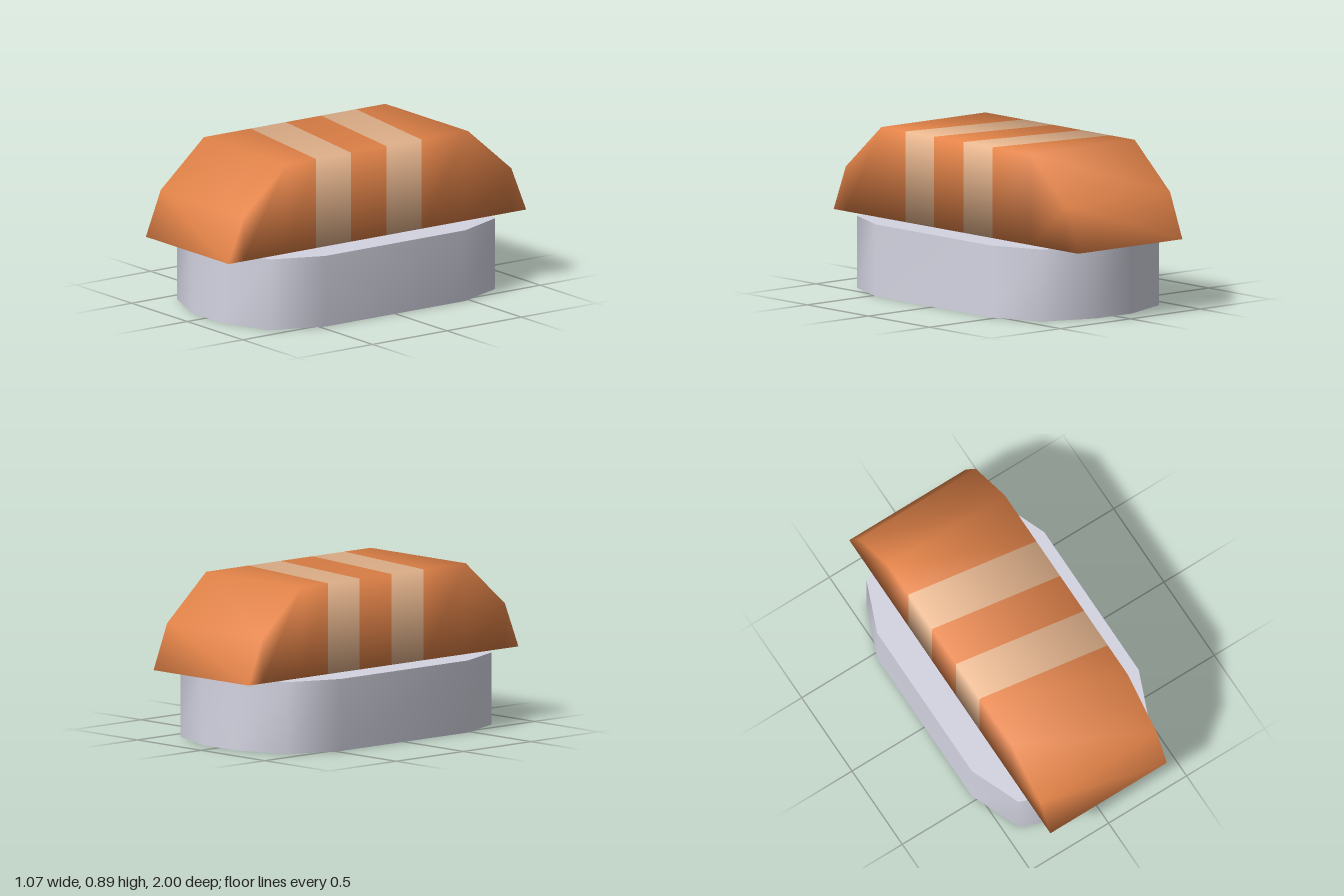
import * as THREE from 'three';
import { mergeVertices } from 'three/addons/utils/BufferGeometryUtils.js';

const BASE_TOP = 0.393;
const HALF_WIDTH = 0.373;

function indexed(positions, index) {
  const geo = new THREE.BufferGeometry();
  geo.setAttribute('position', new THREE.Float32BufferAttribute(positions, 3));
  geo.setIndex(index);
  return geo;
}

// Rounded twelve-sided block: smooth wall with flat caps
function createBase(material) {
  const base = new THREE.Group();
  base.name = 'riceBase';
  const quarter = [[0.535, 0.47], [0.42, 0.755], [0.13, 0.868]];
  const flip = (pts, sx, sy) => pts.map(([x, y]) => [x * sx, y * sy]);
  const outline = [
    ...quarter,
    ...flip(quarter, -1, 1).reverse(),
    ...flip(quarter, -1, -1),
    ...flip(quarter, 1, -1).reverse(),
  ];

  const positions = [], index = [], n = outline.length;
  outline.forEach(([x, y], i) => {
    positions.push(x, 0, -y, x, BASE_TOP, -y);
    const a = 2 * i, b = 2 * ((i + 1) % n);
    index.push(a, b, b + 1, a, b + 1, a + 1);
  });
  const wallGeo = indexed(positions, index);
  wallGeo.computeVertexNormals();
  const wall = new THREE.Mesh(wallGeo, material);
  wall.name = 'riceWall';

  const shape = new THREE.Shape(outline.map(([x, y]) => new THREE.Vector2(x, y)));
  const top = new THREE.Mesh(new THREE.ShapeGeometry(shape).rotateX(-Math.PI / 2), material);
  top.position.y = BASE_TOP;
  top.name = 'riceTop';
  const bottom = new THREE.Mesh(new THREE.ShapeGeometry(shape).rotateX(Math.PI / 2), material);
  bottom.name = 'riceBottom';
  base.add(wall, top, bottom);
  return base;
}

// Slice lofted along z; slanted stations mark the edges of the stripes
function createSlice(sliceMaterial, stripeMaterial) {
  const low = 0.395, high = 0.89;
  // [z at left of section (-x), z at right (+x), top height, stripe follows]
  const stations = [
    [-1, -1, low], [-0.9, -0.9, 0.64], [-0.61, -0.61, high],
    [-0.413, -0.297, high, true], [-0.178, -0.06, high],
    [0.06, 0.178, high, true], [0.297, 0.413, high],
    [0.61, 0.61, high], [0.9, 0.9, 0.64], [1, 1, low],
  ];
  const positions = [], plain = [], striped = [];
  stations.forEach(([za, zb, y, stripe], k) => {
    positions.push(
      -HALF_WIDTH, low, za, -HALF_WIDTH, y, za,
      HALF_WIDTH, y, zb, HALF_WIDTH, low, zb,
    );
    if (k === stations.length - 1) return;
    for (let c = 0; c < 4; c++) {
      const d = (c + 1) % 4, a = 4 * k, b = a + 4;
      const faces = stripe && c < 3 ? striped : plain; // underside stays plain
      faces.push(a + c, b + c, b + d, a + c, b + d, a + d);
    }
  });
  const geo = mergeVertices(indexed(positions, [...plain, ...striped]));
  geo.computeVertexNormals();
  geo.addGroup(0, plain.length, 0);
  geo.addGroup(plain.length, striped.length, 1);
  const slice = new THREE.Mesh(geo, [sliceMaterial, stripeMaterial]);
  slice.name = 'fishSlice';
  return slice;
}

export function createModel() {
  const rice = new THREE.MeshStandardMaterial({ color: 0xd4d4e2 });
  rice.name = 'rice';
  const fish = new THREE.MeshStandardMaterial({ color: 0xe48449 });
  fish.name = 'fishOrange';
  const stripe = new THREE.MeshStandardMaterial({ color: 0xe8b78f });
  stripe.name = 'paleStripe';

  const model = new THREE.Group();
  model.name = 'fishOnRice';
  model.add(createBase(rice), createSlice(fish, stripe));
  return model;
}
